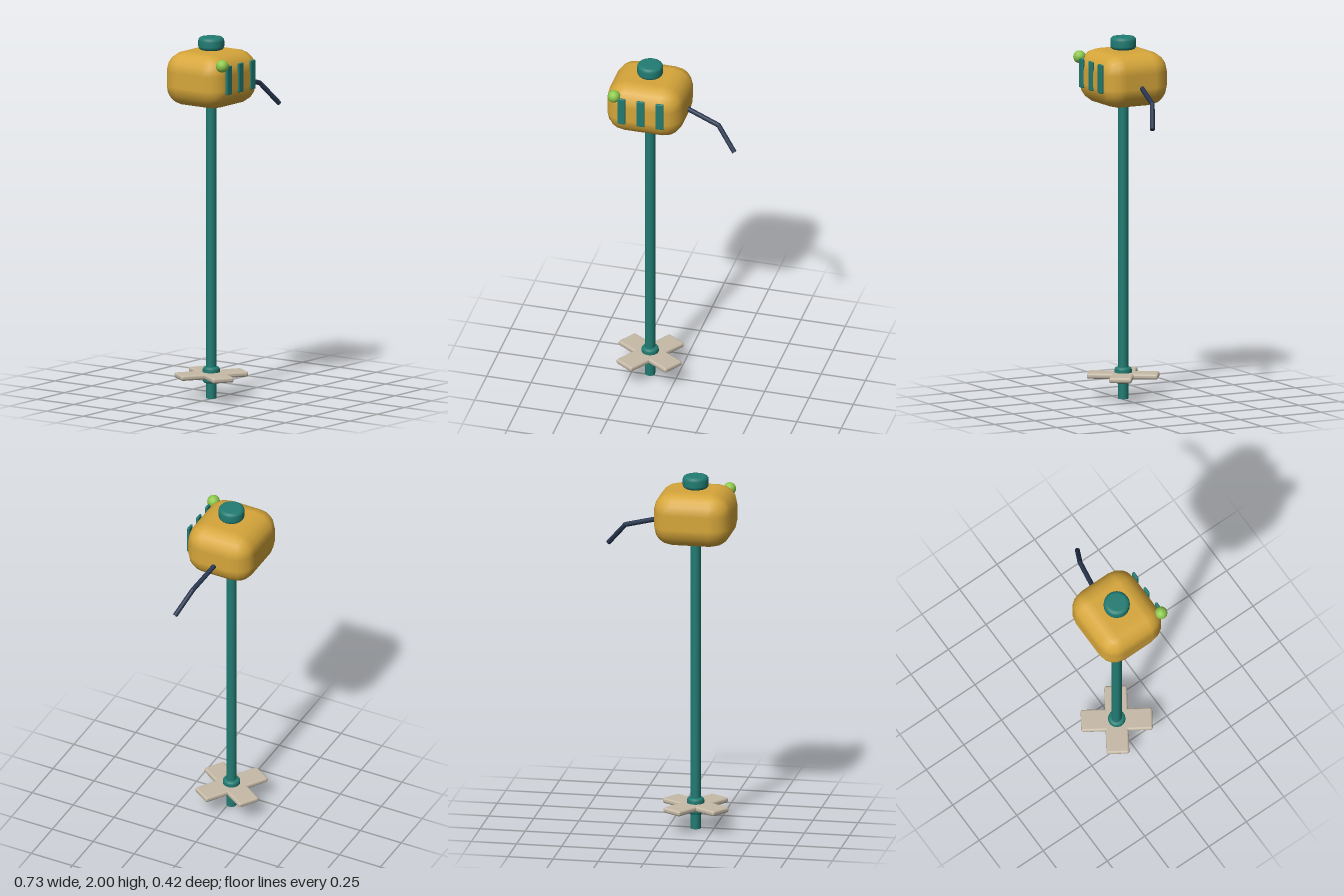
import * as THREE from 'three';
import { RoundedBoxGeometry } from 'three/addons/geometries/RoundedBoxGeometry.js';

const mat = (name, color) => {
  const m = new THREE.MeshStandardMaterial({ color });
  m.name = name;
  return m;
};

// Upright disc with softly rounded rims, centred on its origin
function roundedDisc(radius, height, bevel, segments = 32) {
  const h = height / 2;
  const points = [new THREE.Vector2(0, -h), new THREE.Vector2(radius - bevel - 0.002, -h)];
  for (const side of [-1, 1]) {
    for (let i = 0; i <= 4; i++) {
      const a = (side < 0 ? -1 + i / 4 : i / 4) * Math.PI / 2;
      points.push(new THREE.Vector2(
        radius - bevel + bevel * Math.cos(a),
        side * (h - bevel) + bevel * Math.sin(a)));
    }
  }
  points.push(new THREE.Vector2(radius - bevel - 0.002, h), new THREE.Vector2(0, h));
  return new THREE.LatheGeometry(points, segments);
}

export function createModel() {
  const yellow = mat('mustardYellow', 0xd6a63a);
  const teal = mat('teal', 0x217c73);
  const navy = mat('navy', 0x26344d);
  const stone = mat('stone', 0xc6baa7);
  const green = mat('lightGreen', 0x8cc84b);

  const model = new THREE.Group();
  model.name = 'poleTool';

  // Everything but the arm is arranged around the shaft axis
  const core = new THREE.Group();
  core.name = 'core';
  core.position.set(-0.15, 0, -0.014);
  model.add(core);

  const add = (parent, name, geometry, material, x = 0, y = 0, z = 0) => {
    const mesh = new THREE.Mesh(geometry, material);
    mesh.name = name;
    mesh.position.set(x, y, z);
    parent.add(mesh);
    return mesh;
  };

  // Motor housing, top cap and long shaft
  add(core, 'housing', new RoundedBoxGeometry(0.43, 0.3, 0.396, 2, 0.11), yellow, 0, 1.778, 0);
  add(core, 'topCap', roundedDisc(0.071, 0.07, 0.02), teal, 0, 1.965, 0);
  add(core, 'shaft', new THREE.CylinderGeometry(0.028, 0.028, 1.617, 20), teal, 0, 0.8085, 0);

  // Front vents
  for (const x of [-0.108, 0, 0.108]) {
    add(core, 'vent', new RoundedBoxGeometry(0.044, 0.16, 0.015, 2, 0.005), teal, x, 1.797, 0.199);
  }

  // Indicator lamp at the upper front corner
  add(core, 'lamp', new THREE.SphereGeometry(0.035, 14, 10), green, -0.153, 1.88, 0.188);

  // Rotor: hub with four flat blades
  const rotor = new THREE.Group();
  rotor.name = 'rotor';
  rotor.position.y = 0.13;
  rotor.rotation.y = -0.58;
  core.add(rotor);
  add(rotor, 'hub', roundedDisc(0.047, 0.09, 0.015), teal);
  for (let i = 0; i < 2; i++) {
    const blade = add(rotor, 'bladePair', new RoundedBoxGeometry(0.39, 0.03, 0.125, 2, 0.012), stone);
    blade.rotation.y = i * Math.PI / 2;
  }

  // Bent side arm
  const arm = new THREE.Group();
  arm.name = 'sideArm';
  model.add(arm);
  const joints = [[0.04, 1.75, -0.02], [0.246, 1.69, 0.021], [0.35, 1.567, 0.076]]
    .map((p) => new THREE.Vector3(...p));
  const up = new THREE.Vector3(0, 1, 0);
  for (let i = 0; i < 2; i++) {
    const dir = joints[i + 1].clone().sub(joints[i]);
    const rod = add(arm, 'armRod', new THREE.CylinderGeometry(0.0135, 0.0135, dir.length(), 12), navy);
    rod.position.copy(joints[i]).addScaledVector(dir, 0.5);
    rod.quaternion.setFromUnitVectors(up, dir.normalize());
  }
  add(arm, 'elbow', new THREE.SphereGeometry(0.0135, 12, 8), navy, ...joints[1].toArray());

  return model;
}
